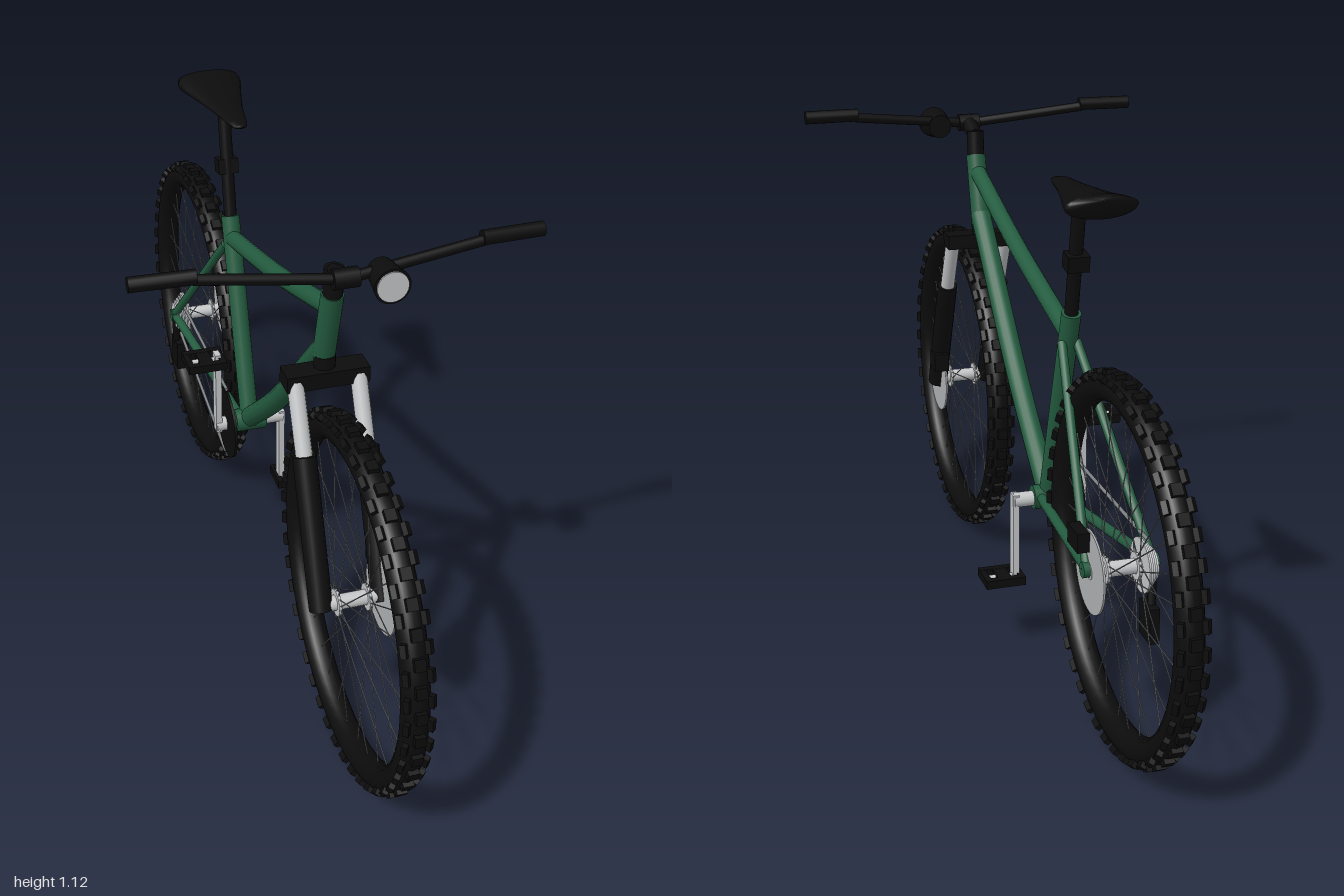
import * as THREE from 'three';
import { mergeGeometries } from 'three/addons/utils/BufferGeometryUtils.js';

const mat = (name, color) => Object.assign(new THREE.MeshStandardMaterial({ color }), { name });
const V = (x, y, z) => new THREE.Vector3(x, y, z);

export function createModel() {
  const green = mat('frame green', 0x245c40);
  const black = mat('black', 0x0c0c0d);
  const silver = mat('silver', 0xc4c6c8);
  const steel = mat('brake steel', 0xb0b2b4);
  const spokeGrey = mat('spoke grey', 0x808386);

  const model = new THREE.Group();
  model.name = 'bicycle';

  const add = (name, geometry, material, parent = model) => {
    const mesh = new THREE.Mesh(geometry, material);
    mesh.name = name;
    parent.add(mesh);
    return mesh;
  };
  // Straight round bar between two points
  const rodGeo = (a, b, r, r2 = r, sides = 14) => {
    const d = b.clone().sub(a);
    const g = new THREE.CylinderGeometry(r2, r, d.length(), sides);
    g.applyQuaternion(new THREE.Quaternion().setFromUnitVectors(V(0, 1, 0), d.normalize()));
    return g.translate((a.x + b.x) / 2, (a.y + b.y) / 2, (a.z + b.z) / 2);
  };
  const rod = (name, a, b, r, material, r2, sides) => add(name, rodGeo(a, b, r, r2, sides), material);
  const box = (name, size, pos, material, tilt = 0) => {
    const m = add(name, new THREE.BoxGeometry(...size), material);
    m.position.set(...pos);
    m.rotation.x = tilt;
    return m;
  };
  const tube = (name, points, r, material) =>
    add(name, new THREE.TubeGeometry(new THREE.CatmullRomCurve3(points), 24, r, 14), material);

  // Wheels: knobbly tyre, spokes, hub and brake disc
  const makeWheel = (name, z) => {
    const wheel = new THREE.Group();
    wheel.name = name;
    wheel.position.set(0, 0.395, z);
    model.add(wheel);
    const tyre = new THREE.TorusGeometry(0.354, 0.028, 14, 72).rotateY(Math.PI / 2);
    add('tyre', tyre, black, wheel);

    const knobs = [];
    const count = 44;
    for (let i = 0; i < count; i++) {
      for (const side of [-1, 0, 1]) {
        const g = side === 0
          ? new THREE.BoxGeometry(0.022, 0.016, 0.024).translate(0, 0.382, 0)
          : new THREE.BoxGeometry(0.012, 0.016, 0.026).rotateZ(-side * 0.7).translate(side * 0.023, 0.374, 0);
        knobs.push(g.rotateX(((i + (side === 0 ? 0.5 : 0)) / count) * Math.PI * 2));
      }
    }
    add('tyreKnobs', mergeGeometries(knobs), black, wheel);

    const spokes = [];
    for (let i = 0; i < 32; i++) {
      const a = (i / 32) * Math.PI * 2;
      const b = a + (i % 4 < 2 ? 0.5 : -0.5);
      const x = i % 2 ? 0.032 : -0.032;
      spokes.push(rodGeo(V(x, 0.025 * Math.cos(b), 0.025 * Math.sin(b)),
        V(0, 0.332 * Math.cos(a), 0.332 * Math.sin(a)), 0.0013, 0.0013, 5));
    }
    add('spokes', mergeGeometries(spokes), spokeGrey, wheel);

    add('hub', rodGeo(V(-0.065, 0, 0), V(0.065, 0, 0), 0.016), silver, wheel);
    for (const s of [-1, 1])
      add('hubFlange', rodGeo(V(s * 0.029, 0, 0), V(s * 0.035, 0, 0), 0.028, 0.028, 20), silver, wheel);
    add('brakeDisc', rodGeo(V(0.06, 0, 0), V(0.064, 0, 0), 0.085, 0.085, 36), steel, wheel);
    return wheel;
  };
  makeWheel('frontWheel', 0.61);
  const rear = makeWheel('rearWheel', -0.61);

  // Rear sprockets
  for (let i = 0; i < 5; i++) {
    const r = 0.056 - i * 0.006, x = -0.04 - i * 0.006;
    add('sprocket', rodGeo(V(x, 0, 0), V(x - 0.004, 0, 0), r, r, 24), silver, rear);
  }

  // Frame tubes
  rod('headTube', V(0, 0.845, 0.403), V(0, 1.005, 0.447), 0.023, green);
  tube('topTube', [V(0, 0.968, 0.435), V(0, 0.865, 0.1), V(0, 0.768, -0.285)], 0.019, green);
  tube('downTube', [V(0, 0.868, 0.41), V(0, 0.56, 0.1), V(0, 0.36, -0.14)], 0.024, green);
  rod('seatTube', V(0, 0.36, -0.14), V(0, 0.82, -0.293), 0.021, green);
  for (const s of [-1, 1]) {
    rod('seatStay', V(s * 0.016, 0.755, -0.28), V(s * 0.068, 0.4, -0.605), 0.010, green);
    rod('chainStay', V(s * 0.02, 0.36, -0.15), V(s * 0.068, 0.4, -0.605), 0.011, green);
    rod('dropout', V(s * 0.056, 0.398, -0.605), V(s * 0.078, 0.398, -0.605), 0.016, green);
  }
  rod('bottomBracketShell', V(-0.036, 0.357, -0.14), V(0.036, 0.357, -0.14), 0.027, green);

  // Suspension fork
  rod('steerer', V(0, 0.8, 0.408), V(0, 0.85, 0.408), 0.022, black);
  box('forkCrown', [0.17, 0.034, 0.052], [0, 0.807, 0.413], black);
  for (const s of [-1, 1]) {
    rod('forkStanchion', V(s * 0.065, 0.66, 0.495), V(s * 0.065, 0.805, 0.425), 0.017, silver);
    rod('forkLowerLeg', V(s * 0.065, 0.385, 0.612), V(s * 0.065, 0.675, 0.49), 0.024, black);
  }
  box('frontBrakeCaliper', [0.036, 0.045, 0.05], [0.072, 0.458, 0.558], black);
  box('rearBrakeCaliper', [0.025, 0.04, 0.062], [0.078, 0.458, -0.583], black);

  // Stem, handlebar and grips
  rod('stemPost', V(0, 1.0, 0.447), V(0, 1.062, 0.452), 0.02, black);
  rod('stem', V(0, 1.05, 0.45), V(0, 1.072, 0.515), 0.018, black);
  rod('barClamp', V(-0.025, 1.072, 0.515), V(0.025, 1.072, 0.515), 0.02, black);
  for (const s of [-1, 1]) {
    rod('handlebar', V(0, 1.07, 0.515), V(s * 0.28, 1.1, 0.495), 0.011, black);
    rod('grip', V(s * 0.275, 1.106, 0.496), V(s * 0.4, 1.106, 0.492), 0.015, black);
  }

  // Headlamp
  rod('headlampBody', V(0.075, 1.068, 0.495), V(0.075, 1.068, 0.564), 0.027, black, 0.036, 24);
  rod('headlampLens', V(0.075, 1.068, 0.561), V(0.075, 1.068, 0.567), 0.031, silver, 0.031, 24);

  // Seat post with rear lamp
  rod('seatPost', V(0, 0.81, -0.29), V(0, 1.06, -0.338), 0.0145, black);
  box('rearLamp', [0.046, 0.034, 0.038], [0, 0.935, -0.32], black, -0.2);

  // Saddle: z, half width, centre height, half thickness
  const rows = [
    [-0.193, 0.002, 1.078, 0.001], [-0.197, 0.014, 1.078, 0.005], [-0.22, 0.021, 1.078, 0.009],
    [-0.3, 0.034, 1.077, 0.012], [-0.37, 0.05, 1.077, 0.016], [-0.43, 0.066, 1.077, 0.021],
    [-0.465, 0.074, 1.078, 0.025], [-0.482, 0.07, 1.085, 0.018], [-0.487, 0.002, 1.094, 0.002],
  ];
  const sides = 20, pos = [], idx = [];
  rows.forEach(([z, w, y, h], i) => {
    for (let j = 0; j < sides; j++) {
      const a = (j / sides) * Math.PI * 2;
      pos.push(w * Math.cos(a), y + h * Math.sin(a), z);
      if (i < rows.length - 1) {
        const p = i * sides + j, q = i * sides + ((j + 1) % sides);
        idx.push(p, p + sides, q, q, p + sides, q + sides);
      }
    }
  });
  const saddle = new THREE.BufferGeometry();
  saddle.setAttribute('position', new THREE.Float32BufferAttribute(pos, 3));
  saddle.setIndex(idx);
  saddle.computeVertexNormals();
  add('saddle', saddle, black);

  // Cranks and pedals: left points down, right points up
  rod('crankAxle', V(-0.082, 0.355, -0.14), V(0.08, 0.355, -0.14), 0.017, silver);
  for (const s of [-1, 1]) {
    const y = 0.355 - s * 0.18;
    box('crankArm', [0.014, 0.21, 0.026], [s * 0.077, 0.355 - s * 0.09, -0.14], silver);
    rod('pedalAxle', V(s * 0.07, y, -0.14), V(s * 0.145, y, -0.14), 0.006, silver);
    for (const dz of [-0.03, 0.03])
      box('pedalBar', [0.09, 0.019, 0.016], [s * 0.107, y, -0.14 + dz], black);
    for (const dx of [0.069, 0.107, 0.145])
      box('pedalCrossBar', [dx === 0.107 ? 0.03 : 0.014, 0.018, 0.07], [s * dx, y, -0.14], black);
  }

  // Chainring, chain and rear gear changer
  rod('chainring', V(-0.052, 0.357, -0.14), V(-0.058, 0.357, -0.14), 0.085, black, 0.085, 36);
  const chainRuns = [[0.447, -0.14, 0.447, -0.61], [0.262, -0.16, 0.345, -0.6]];
  for (const [y1, z1, y2, z2] of chainRuns)
    rod('chain', V(-0.055, y1, z1), V(-0.055, y2, z2), 0.004, spokeGrey, 0.004, 6);
  rod('gearChangerArm', V(-0.066, 0.385, -0.61), V(-0.06, 0.3, -0.625), 0.009, black);
  box('gearChangerCage', [0.02, 0.075, 0.06], [-0.058, 0.278, -0.622], black);

  return model;
}
